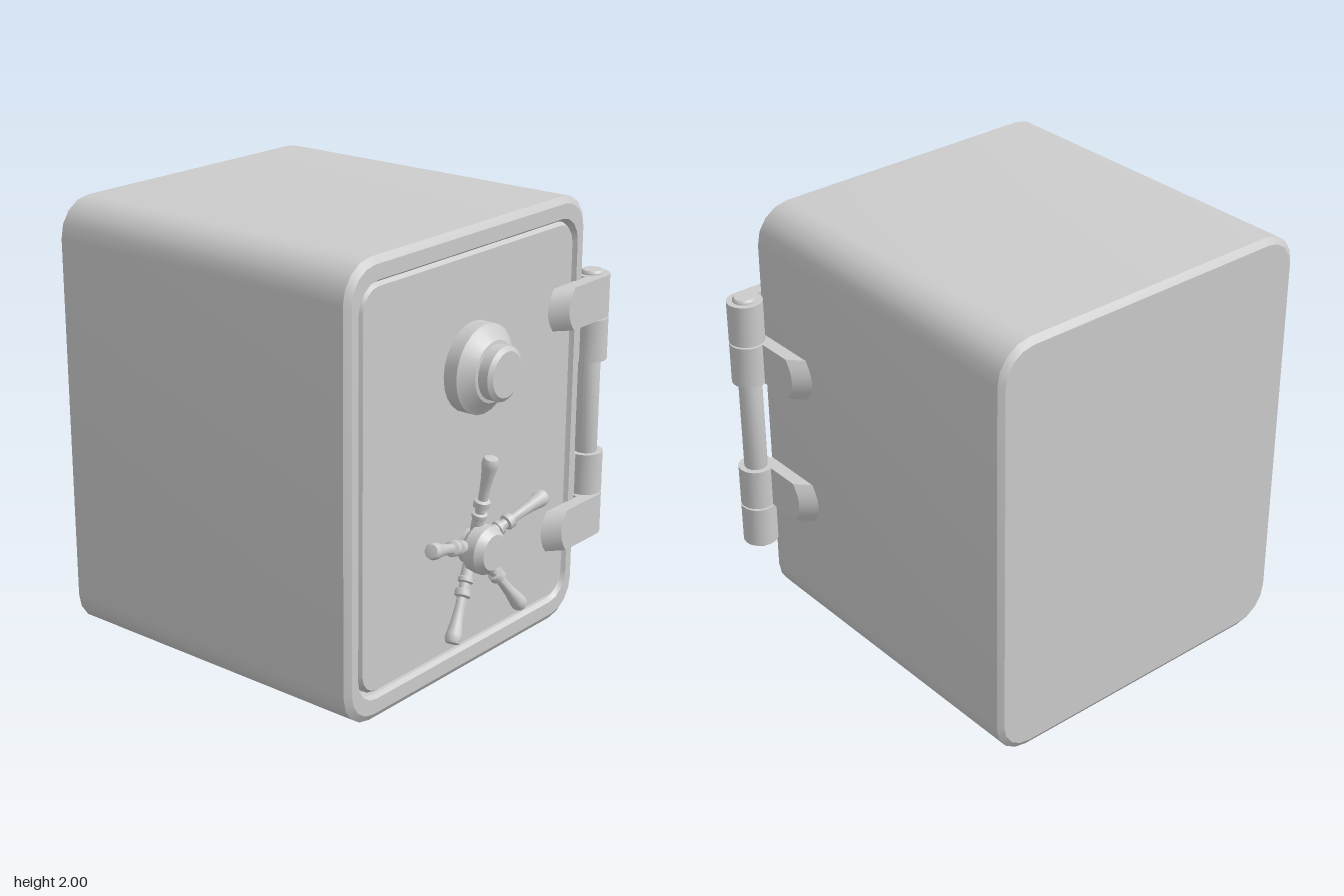
import * as THREE from 'three';
import { toCreasedNormals } from 'three/addons/utils/BufferGeometryUtils.js';

const CX = -0.085; // centre line of the cabinet
const FACE = 0.72; // z of the door face
const mat = new THREE.MeshStandardMaterial({ color: 0xcccccc });

function add(parent, name, geometry, crease = 0.7) {
  const mesh = new THREE.Mesh(toCreasedNormals(geometry, crease), mat);
  mesh.name = name;
  parent.add(mesh);
  return mesh;
}

// Loft through rounded rectangles [halfWidth, halfHeight, radius, z], capped at both ends
function loftRects(rings, seg = 4) {
  const pos = [], idx = [], n = 4 * (seg + 1);
  const signs = [[1, 1], [-1, 1], [-1, -1], [1, -1]];
  for (const [w, h, r, z] of rings) {
    signs.forEach(([sx, sy], q) => {
      for (let i = 0; i <= seg; i++) {
        const a = (q + i / seg) * Math.PI / 2;
        pos.push(sx * (w - r) + r * Math.cos(a), sy * (h - r) + r * Math.sin(a), z);
      }
    });
  }
  const last = (rings.length - 1) * n;
  for (let k = 0; k < last; k += n) {
    for (let i = 0; i < n; i++) {
      const j = (i + 1) % n;
      idx.push(k + i, k + j, k + n + j, k + i, k + n + j, k + n + i);
    }
  }
  for (let i = 1; i < n - 1; i++) idx.push(0, i + 1, i, last, last + i, last + i + 1);
  const g = new THREE.BufferGeometry();
  g.setAttribute('position', new THREE.Float32BufferAttribute(pos, 3));
  g.setIndex(idx);
  return g;
}

// Turned part from [radius, height] pairs
const turned = (points, seg = 24) =>
  new THREE.LatheGeometry(points.map(([r, y]) => new THREE.Vector2(r, y)), seg);

// Hinge strap: runs along -x from the pin, lies on z = 0, tip rounded and sloped
function strapGeometry(length, height, thick, slope) {
  const s = new THREE.Shape();
  const tip = -length + 0.04;
  s.moveTo(0, -height / 2);
  s.lineTo(0, height / 2);
  s.lineTo(tip, height / 2);
  s.quadraticCurveTo(tip - 0.08, 0, tip, -height / 2);
  const g = new THREE.ExtrudeGeometry(s, { depth: thick, bevelEnabled: false, curveSegments: 8 });
  const p = g.attributes.position;
  for (let i = 0; i < p.count; i++) {
    if (p.getZ(i) > thick / 2 && p.getX(i) < tip + 0.01) p.setX(i, p.getX(i) + slope);
  }
  return g;
}

export function createModel() {
  const safe = new THREE.Group();
  safe.name = 'safe';

  // Cabinet with chamfered edges and a recess for the door
  const cabinet = add(safe, 'cabinet', loftRects([
    [0.79, 0.97, 0.14, -0.9],
    [0.815, 1, 0.165, -0.88],
    [0.815, 1, 0.165, 0.705],
    [0.785, 0.97, 0.14, 0.725],
    [0.745, 0.905, 0.12, 0.725],
    [0.732, 0.892, 0.11, 0.705],
    [0.732, 0.892, 0.11, 0.66],
  ]), 0.5);
  cabinet.position.set(CX, 1, 0);

  // Door panel
  const door = add(safe, 'door', loftRects([
    [0.725, 0.885, 0.105, 0.64],
    [0.725, 0.885, 0.105, 0.7],
    [0.712, 0.872, 0.095, FACE],
  ]), 0.5);
  door.position.set(CX, 1.005, 0);

  // Combination dial
  const dial = add(safe, 'combinationDial', turned([
    [0, -0.03], [0.197, -0.03], [0.197, 0.065], [0.182, 0.075], [0.135, 0.115],
    [0.12, 0.118], [0.12, 0.165], [0.1, 0.18], [0, 0.18],
  ]).rotateX(Math.PI / 2), 0.5);
  dial.position.set(CX + 0.002, 1.395, FACE);

  // Handle wheel: hub and five tilted spokes
  const wheel = new THREE.Group();
  wheel.name = 'handleWheel';
  wheel.position.set(CX + 0.002, 0.585, FACE);
  safe.add(wheel);
  add(wheel, 'wheelHub', turned([
    [0, -0.03], [0.08, -0.03], [0.08, 0.02], [0.108, 0.05], [0.108, 0.105], [0.08, 0.138], [0, 0.138],
  ]).rotateX(Math.PI / 2), 0.5);
  const spoke = turned([
    [0.028, 0.06], [0.028, 0.14], [0.034, 0.145], [0.034, 0.162], [0.023, 0.168], [0.023, 0.192],
    [0.036, 0.197], [0.036, 0.225], [0.022, 0.232], [0.022, 0.27], [0.027, 0.34], [0.036, 0.395],
    [0.037, 0.415], [0.03, 0.433], [0, 0.438],
  ], 14).rotateX(0.2).translate(0, 0, 0.022);
  for (let i = 0; i < 5; i++) {
    add(wheel, 'wheelSpoke', spoke).rotation.z = i * Math.PI * 2 / 5;
  }

  // Hinge: one long pin, two door knuckles and two cabinet knuckles
  const hinge = new THREE.Group();
  hinge.name = 'hinge';
  hinge.position.set(0.82, 0, 0.703);
  safe.add(hinge);
  add(hinge, 'hingePin', turned([
    [0, 0.335], [0.045, 0.335], [0.053, 0.345], [0.053, 1.61], [0.045, 1.62], [0, 1.62],
  ]));
  const knuckle = new THREE.CylinderGeometry(0.08, 0.08, 0.195, 24);
  const doorStrap = strapGeometry(0.365, 0.195, 0.065, 0.075);
  const cabinetStrap = strapGeometry(0.35, 0.195, 0.06, 0.065);
  for (const y of [0.458, 1.505]) {
    add(hinge, 'doorKnuckle', knuckle).position.y = y;
    add(hinge, 'doorStrap', doorStrap, 0.4).position.set(0, y, 0.015);
  }
  for (const y of [0.662, 1.302]) {
    add(hinge, 'cabinetKnuckle', knuckle).position.y = y;
    const strap = add(hinge, 'cabinetStrap', cabinetStrap, 0.4);
    strap.position.set(-0.09, y, 0);
    // turn the strap to run back along the cabinet side: local -x to -z, z to +x
    strap.rotation.set(Math.PI, -Math.PI / 2, 0, 'YXZ');
    strap.quaternion.setFromRotationMatrix(new THREE.Matrix4().makeBasis(
      new THREE.Vector3(0, 0, 1), new THREE.Vector3(0, -1, 0), new THREE.Vector3(1, 0, 0)));
  }
  return safe;
}
